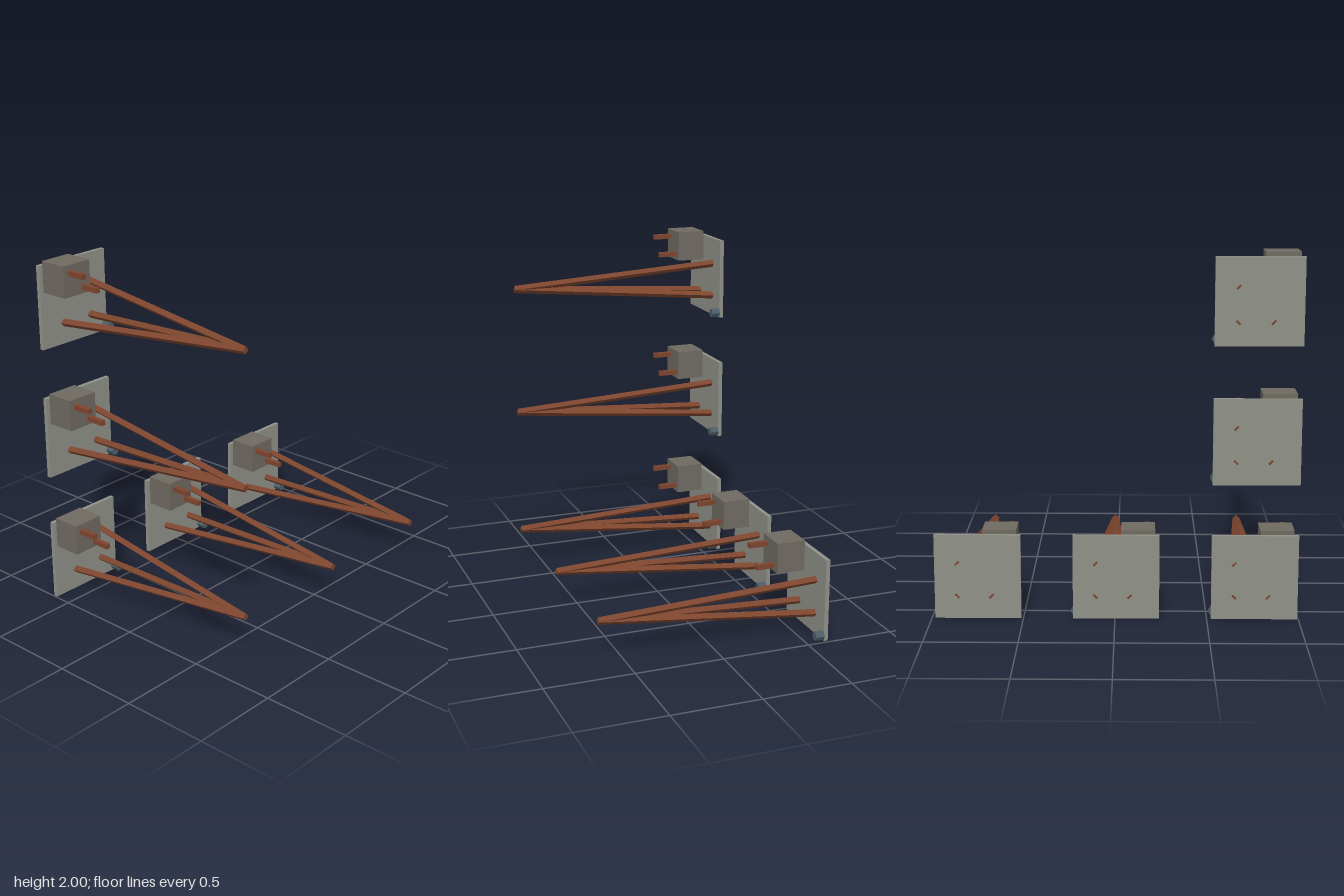
import * as THREE from 'three';

const material = (color) => new THREE.MeshStandardMaterial({ color, flatShading: true });

const panelMat = material(0x8f9188);
const boxMat = material(0x6f6a61);
const rodMat = material(0x7d452e);
const boltMat = material(0x4c5f68);

const SIZE = 0.4706;       // panel edge
const STEP = SIZE * 1.6;   // spacing between units
const LEFT = -0.994;       // left edge of the first panel

function box(name, mat, [x0, x1], [y0, y1], [z0, z1]) {
  const mesh = new THREE.Mesh(new THREE.BoxGeometry(x1 - x0, y1 - y0, z1 - z0), mat);
  mesh.position.set((x0 + x1) / 2, (y0 + y1) / 2, (z0 + z1) / 2);
  mesh.name = name;
  return mesh;
}

// Square rod between two points, its sides squared up to the "up" direction
function rod(name, from, to, up) {
  const geo = new THREE.BoxGeometry(0.031, 0.031, from.distanceTo(to));
  const mesh = new THREE.Mesh(geo, rodMat);
  mesh.position.addVectors(from, to).multiplyScalar(0.5);
  mesh.up.copy(up);
  mesh.lookAt(to);
  mesh.name = name;
  return mesh;
}

// One unit, with the panel's lower left corner at x = 0, y = 0
function createUnit() {
  const unit = new THREE.Group();
  unit.add(box('panel', panelMat, [0, SIZE], [0, SIZE], [-0.625, -0.601]));

  // Block on the upper corner, with two square pins
  unit.add(box('block', boxMat, [0.023, 0.208], [0.319, 0.494], [-0.601, -0.436]));
  for (const [x, y] of [[0.066, 0.451], [0.16, 0.355]]) {
    unit.add(box('pin', rodMat, [x - 0.014, x + 0.014], [y - 0.014, y + 0.014], [-0.45, -0.325]));
  }

  // Three rods running from the panel to a shared tip
  const cx = 0.254, cy = 0.218;
  const tip = new THREE.Vector3(cx, cy, 0.623);
  for (const [sx, sy] of [[1, 1], [-1, -1], [1, -1]]) {
    const foot = new THREE.Vector3(cx + sx * 0.1, cy + sy * 0.1, -0.6245);
    unit.add(rod('rod', foot, tip, new THREE.Vector3(sx, sy, 0)));
  }

  // Hexagonal bolt at the lower corner
  const bolt = new THREE.Mesh(new THREE.CylinderGeometry(0.0265, 0.0265, 0.05, 6), boltMat);
  bolt.geometry.rotateY(Math.PI / 2).rotateX(Math.PI / 2);
  bolt.position.set(SIZE - 0.015, 0.03, -0.576);
  bolt.name = 'bolt';
  unit.add(bolt);
  return unit;
}

export function createModel() {
  const model = new THREE.Group();
  model.name = 'panelArray';
  // L-shaped arrangement: a row of three and a column of three
  for (const [col, row] of [[0, 0], [1, 0], [2, 0], [0, 1], [0, 2]]) {
    const unit = createUnit();
    unit.name = `unit_${col}_${row}`;
    unit.position.set(LEFT + col * STEP, row * STEP, 0);
    model.add(unit);
  }
  return model;
}
